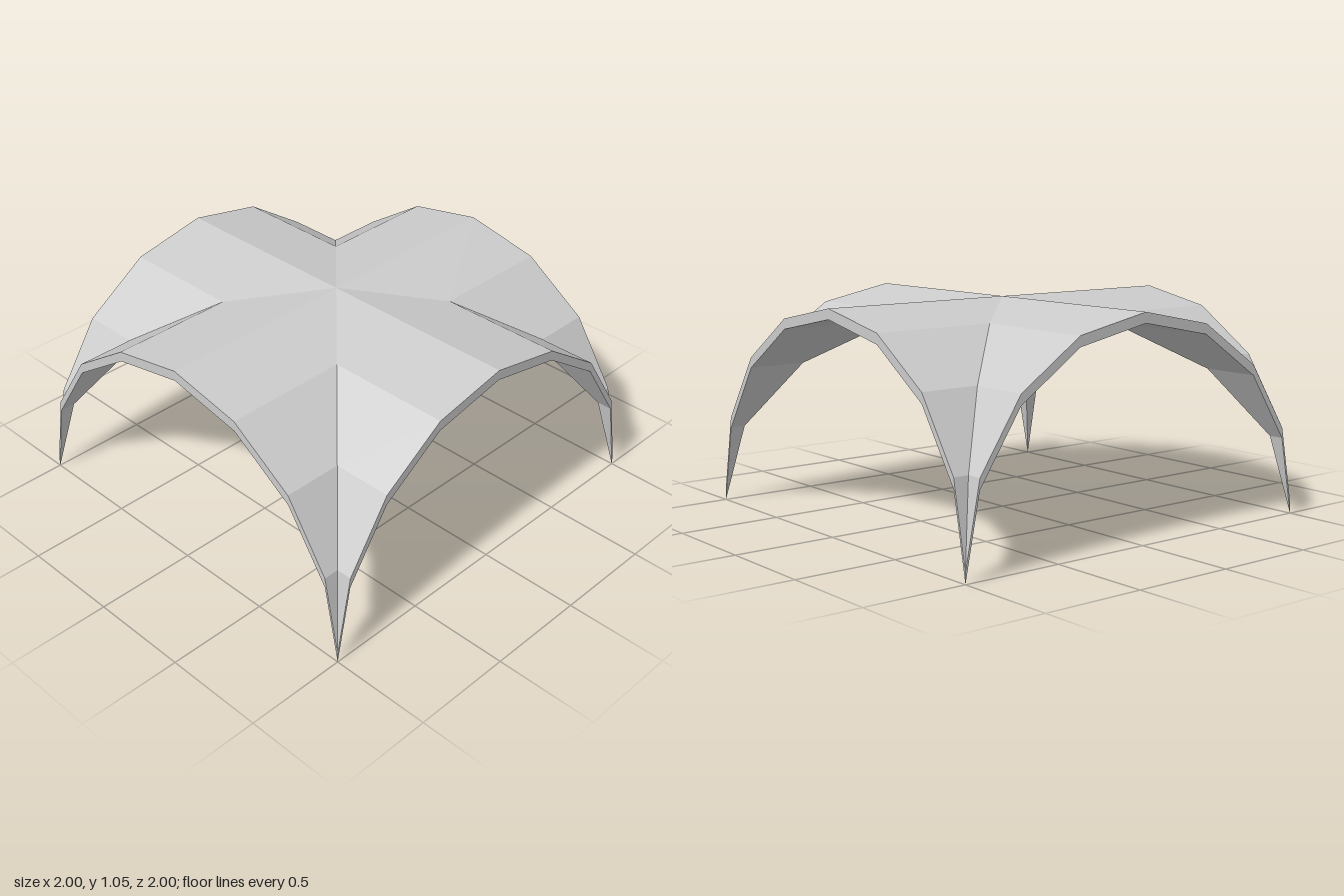
import * as THREE from 'three';

const SEGMENTS = 8;      // facets across each arch
const THICKNESS = 0.05;  // vertical shell thickness

// One quarter of the groin vault: a faceted barrel cut along both diagonals
function webGeometry() {
  const positions = [];
  const tri = (a, b, c) => positions.push(...a, ...b, ...c);
  const quad = (a, b, c, d) => { tri(a, b, c); tri(a, c, d); };

  // Arch section: lower/upper points on the groin and on the open edge
  const sections = [];
  for (let i = 0; i <= SEGMENTS; i++) {
    const angle = (i / SEGMENTS - 0.5) * Math.PI;
    const x = Math.sin(angle), y = Math.cos(angle), groin = Math.abs(x);
    sections.push({
      lowIn: [x, y, groin], lowOut: [x, y, 1],
      topIn: [x, y + THICKNESS, groin], topOut: [x, y + THICKNESS, 1],
    });
  }

  for (let i = 0; i < SEGMENTS; i++) {
    const a = sections[i], b = sections[i + 1];
    if (i === 0) { // springing corner, where groin and edge meet
      tri(a.topOut, b.topOut, b.topIn);
      tri(a.lowOut, b.lowIn, b.lowOut);
    } else if (i === SEGMENTS - 1) {
      tri(a.topIn, a.topOut, b.topOut);
      tri(a.lowIn, b.lowOut, a.lowOut);
    } else {
      quad(a.topIn, a.topOut, b.topOut, b.topIn);
      quad(a.lowIn, b.lowIn, b.lowOut, a.lowOut);
    }
    quad(a.lowOut, b.lowOut, b.topOut, a.topOut); // arch face
  }

  const geometry = new THREE.BufferGeometry();
  geometry.setAttribute('position', new THREE.Float32BufferAttribute(positions, 3));
  geometry.computeVertexNormals();
  return geometry;
}

export function createModel() {
  const group = new THREE.Group();
  group.name = 'groinVault';
  const material = new THREE.MeshStandardMaterial({ color: 0xcccccc, flatShading: true });
  const geometry = webGeometry();

  // Four identical webs around the crown
  ['frontWeb', 'leftWeb', 'backWeb', 'rightWeb'].forEach((name, i) => {
    const web = new THREE.Mesh(geometry, material);
    web.name = name;
    web.rotation.y = i * Math.PI / 2;
    group.add(web);
  });
  return group;
}
